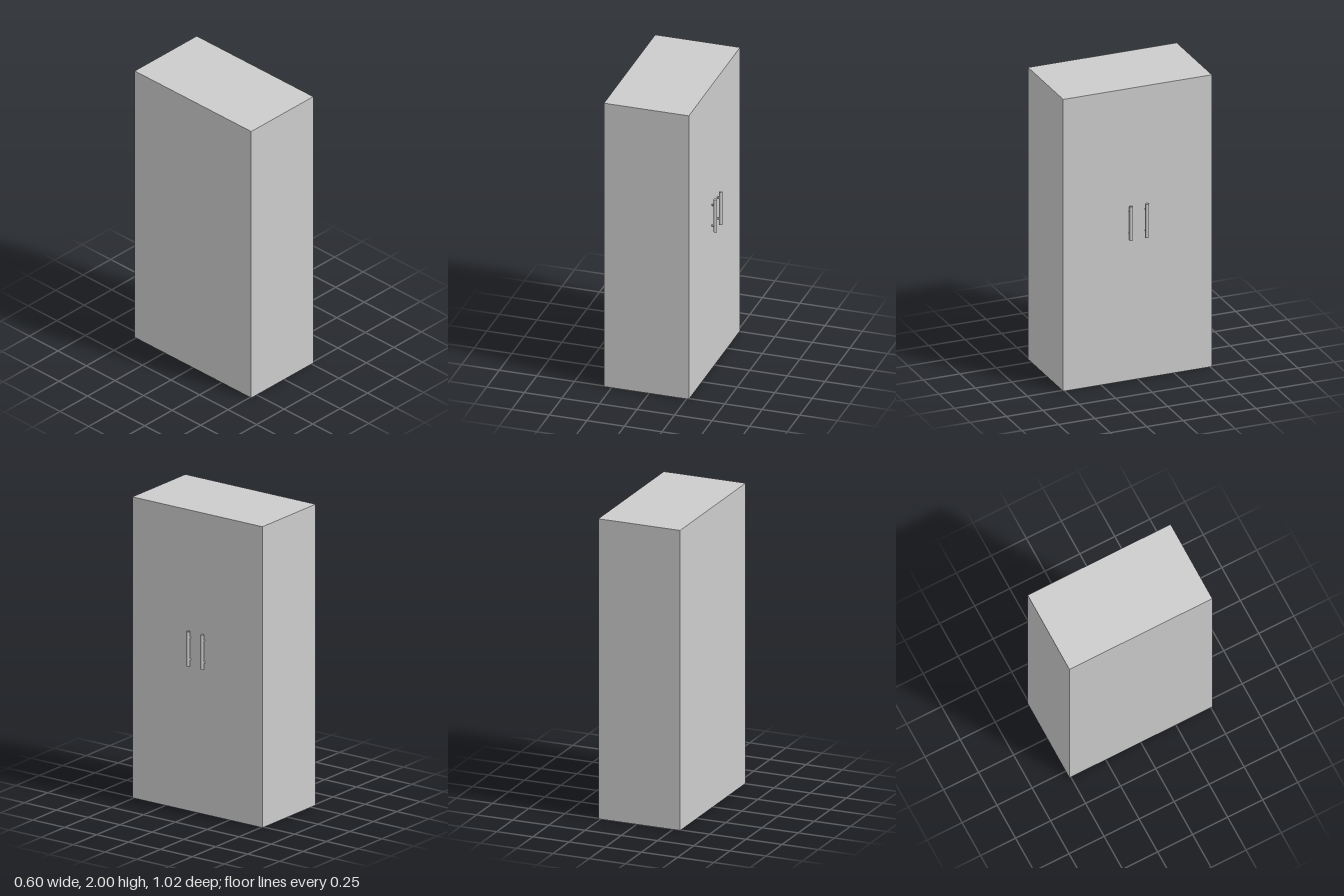
import * as THREE from 'three';

export function createModel() {
  const model = new THREE.Group();
  const material = new THREE.MeshStandardMaterial({ color: 0xcccccc });

  const height = 2, halfZ = 0.51, backX = -0.3, frontX = 0.265;
  const t = 0.04;          // panel thickness
  const plinth = 0.06;     // recess beneath the floor panel

  function add(name, geometry, x, y, z, parent = model) {
    const mesh = new THREE.Mesh(geometry, material);
    mesh.name = name;
    mesh.position.set(x, y, z);
    parent.add(mesh);
    return mesh;
  }

  // Box given by its lower and upper corners
  function panel(name, [x0, y0, z0], [x1, y1, z1], parent) {
    return add(name, new THREE.BoxGeometry(x1 - x0, y1 - y0, z1 - z0),
      (x0 + x1) / 2, (y0 + y1) / 2, (z0 + z1) / 2, parent);
  }

  // Carcass: back, top and raised floor
  const doorBack = frontX - t, inner = halfZ - t;
  panel('backPanel', [backX, 0, -inner], [backX + t, height - t, inner]);
  panel('topPanel', [backX, height - t, -halfZ], [frontX, height, halfZ]);
  panel('floorPanel', [backX + t, plinth, -inner], [doorBack, plinth + t, inner]);

  // Side panels, doors and bar handles, mirrored about z = 0
  for (const side of [-1, 1]) {
    const label = side > 0 ? 'right' : 'left';
    const span = (a, b) => (side > 0 ? [a, b] : [-b, -a]);

    const [s0, s1] = span(inner, halfZ);
    panel(label + 'SidePanel', [backX, 0, s0], [doorBack, height - t, s1]);

    const [d0, d1] = span(0, halfZ);
    panel(label + 'Door', [doorBack, 0, d0], [frontX, height - t, d1]);

    const handle = new THREE.Group();
    handle.name = label + 'Handle';
    model.add(handle);
    const barX = 0.289, barZ = side * 0.055;
    add('handleBar', new THREE.CylinderGeometry(0.0115, 0.0115, 0.23, 24), barX, 1.085, barZ, handle);
    for (const y of [1.01, 1.157]) {
      const post = add('handlePost', new THREE.CylinderGeometry(0.006, 0.006, barX - frontX, 16),
        (barX + frontX) / 2, y, barZ, handle);
      post.rotation.z = Math.PI / 2;
    }
  }

  return model;
}
